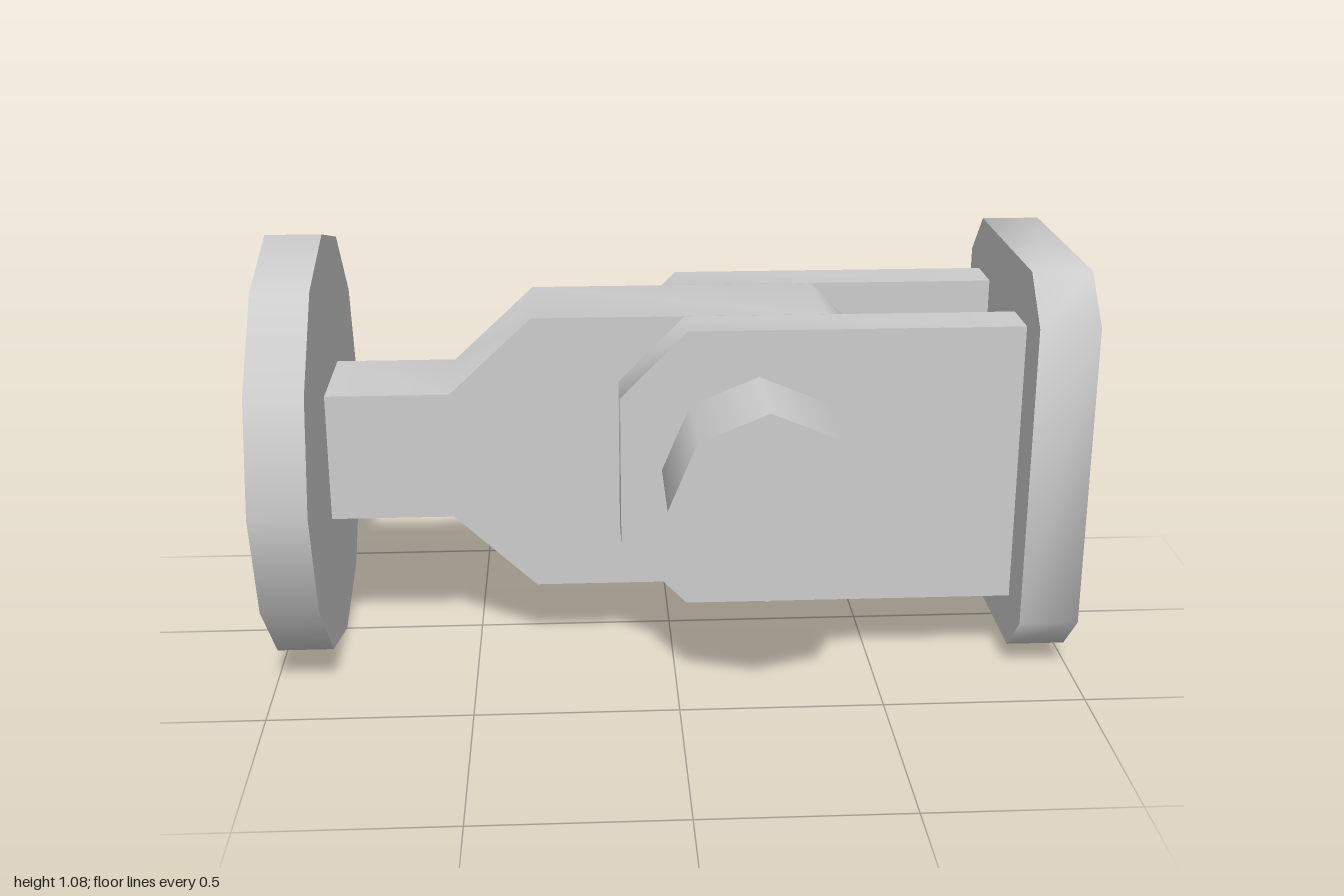
import * as THREE from 'three';
import { toCreasedNormals } from 'three/addons/utils/BufferGeometryUtils.js';

const MID = 0.538; // height of the main axis

const grey = new THREE.MeshStandardMaterial({ color: 0xcccccc });
const greyOpen = new THREE.MeshStandardMaterial({ color: 0xcccccc, side: THREE.DoubleSide });

// Extrudes an outline symmetric about the axis: the points give its upper half
function slab(upper, depth) {
  const lower = upper.map(([x, y]) => [x, -y]).reverse();
  const shape = new THREE.Shape([...upper, ...lower].map(([x, y]) => new THREE.Vector2(x, y)));
  const geometry = new THREE.ExtrudeGeometry(shape, { depth, bevelEnabled: false });
  geometry.translate(0, 0, -depth / 2);
  return toCreasedNormals(geometry, 0.9);
}

function add(parent, name, geometry, x, y, z, material = grey) {
  const mesh = new THREE.Mesh(geometry, material);
  mesh.name = name;
  mesh.position.set(x, y, z);
  parent.add(mesh);
  return mesh;
}

export function createModel() {
  const model = new THREE.Group();
  model.name = 'clevisJoint';

  // Round end flange, a shallow pan open on its outer side
  const flange = new THREE.Group();
  flange.name = 'roundFlange';
  const rim = new THREE.CylinderGeometry(0.538, 0.538, 0.14, 12, 1, true).rotateZ(-Math.PI / 2);
  add(flange, 'flangeRim', rim, -0.93, MID, 0, greyOpen);
  const disc = new THREE.CircleGeometry(0.538, 12).rotateY(Math.PI / 2);
  add(flange, 'flangeDisc', disc, -0.86, MID, 0, greyOpen);
  model.add(flange);

  // Central arm, widening into a chamfered eye
  const arm = slab([[-0.86, 0.163], [-0.553, 0.163], [-0.347, 0.356],
    [0.38, 0.356], [0.54, 0.19]], 0.29);
  add(model, 'centralArm', arm, 0, MID, 0);

  // Fork cheeks on both sides of the arm
  const cheek = slab([[-0.133, 0.19], [0.03, 0.356], [0.85, 0.356]], 0.13);
  for (const side of [1, -1]) {
    add(model, side > 0 ? 'frontForkCheek' : 'backForkCheek', cheek, 0, MID, side * 0.211);
  }

  // Pivot pin through the fork
  const pin = new THREE.CylinderGeometry(0.236, 0.236, 1.09, 8).rotateX(Math.PI / 2);
  add(model, 'pivotPin', pin, 0.204, MID + 0.003, 0);

  // Chamfered end plate
  const plate = slab([[-0.388, 0.382], [-0.277, 0.492], [0.277, 0.492], [0.388, 0.382]], 0.147);
  plate.rotateY(Math.PI / 2);
  add(model, 'endPlate', plate, 0.9265, MID, 0);

  return model;
}
